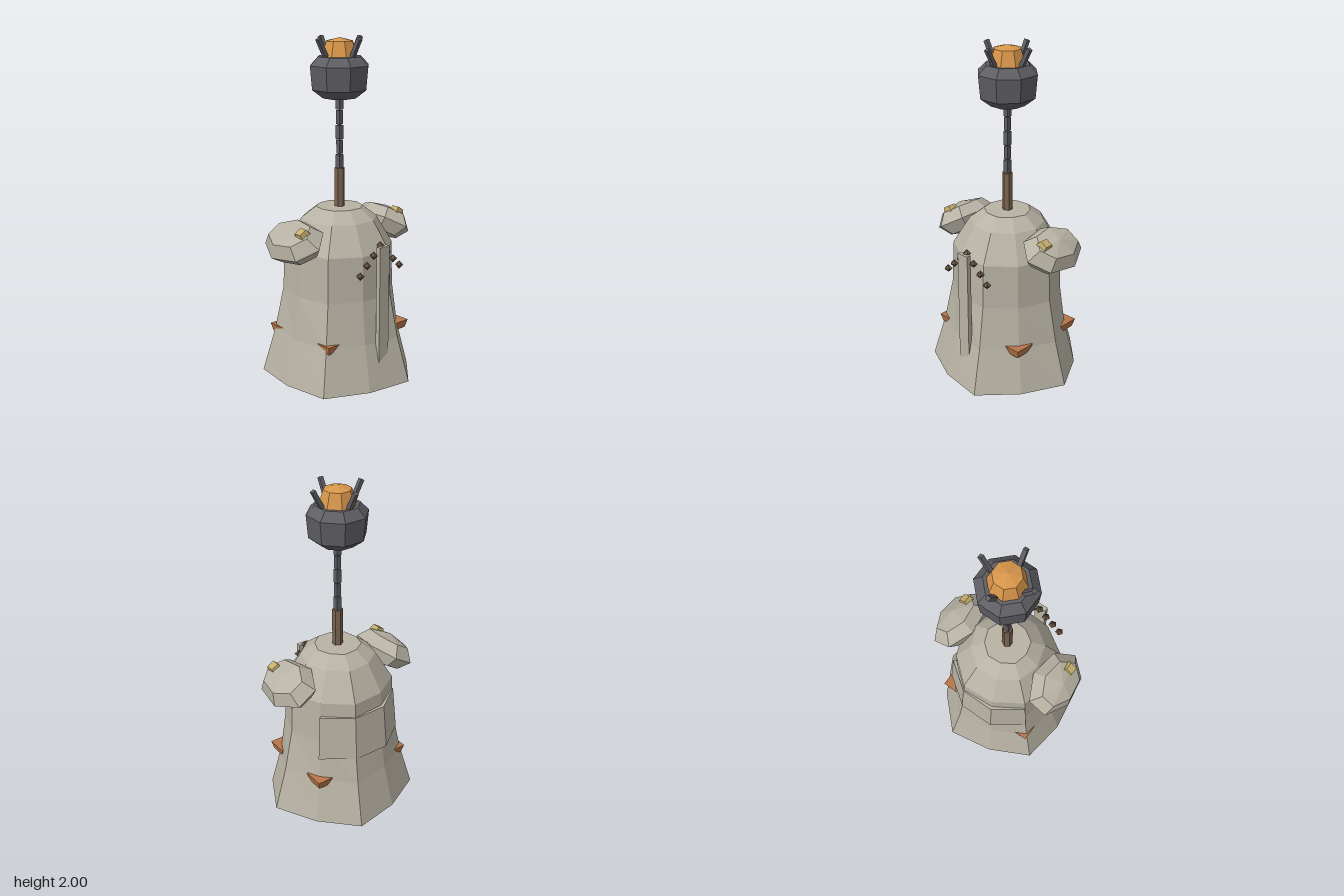
import * as THREE from 'three';

const paint = (name, color) => {
  const m = new THREE.MeshStandardMaterial({ color });
  m.name = name;
  m.flatShading = true;
  return m;
};

export function createModel() {
  const model = new THREE.Group();
  const stone = paint('pale stone', 0xb8b2a4);
  const iron = paint('dark iron', 0x5e5e63);
  const wood = paint('dark wood', 0x7a6450);
  const bead = paint('bead brown', 0x665140);
  const copper = paint('copper', 0xb87548);
  const brass = paint('brass', 0xc4ae6c);
  const amber = paint('amber', 0xd6954a);

  const add = (name, geometry, material, x = 0, y = 0, z = 0, parent = model) => {
    const mesh = new THREE.Mesh(geometry, material);
    mesh.name = name;
    mesh.position.set(x, y, z);
    parent.add(mesh);
    return mesh;
  };
  const lathe = (profile, sides) =>
    new THREE.LatheGeometry(profile.map(([r, y]) => new THREE.Vector2(r, y)), sides);

  // Bell-shaped body: every second edge is pulled in by the third value
  const rings = [
    [0, 0, 1], [0.468, 0, 0.897], [0.39, 0.27, 0.905], [0.338, 0.525, 0.947],
    [0.326, 0.79, 0.96], [0.225, 0.955, 0.97], [0.14, 1.02, 0.96], [0, 1.02, 1],
  ];
  const bodyGeo = lathe(rings, 10);
  const pos = bodyGeo.attributes.position;
  for (let i = 0; i < pos.count; i++) {
    const column = Math.floor(i / rings.length);
    const k = column % 2 ? rings[i % rings.length][2] : 1;
    pos.setXYZ(i, pos.getX(i) * k, pos.getY(i), pos.getZ(i) * k);
  }
  bodyGeo.rotateY(Math.PI / 2);
  add('body', bodyGeo, stone);

  // Curved plate on the back
  add('backPlate', new THREE.CylinderGeometry(0.336, 0.361, 0.275, 3, 1, false,
    Math.PI * 0.7, Math.PI * 0.6), stone, 0, 0.565, 0);

  // Hanging strip on the front
  add('frontStrip', new THREE.BoxGeometry(0.076, 0.73, 0.028), stone, 0, 0.485, 0.363);

  // Bead necklace in an inverted V
  for (let i = -3; i <= 3; i++) {
    add('necklaceBead', new THREE.SphereGeometry(0.025, 5, 2), bead,
      i * 0.0525, 0.85 - Math.abs(i) * 0.05, 0.34);
  }

  // Four tapered brackets around the skirt
  for (const sx of [-1, 1]) for (const sz of [-1, 1]) {
    const geo = new THREE.CylinderGeometry(0.09, 0.072, 0.05, 4).rotateY(Math.PI / 4);
    add('skirtBracket', geo, copper, sx * 0.262, 0.266, sz * 0.198);
  }

  // Tilted shoulder pads, each with a brass stud
  for (const s of [-1, 1]) {
    const pad = new THREE.Group();
    pad.name = s > 0 ? 'leftShoulder' : 'rightShoulder';
    pad.position.set(s * 0.35, 0.865, 0);
    pad.rotation.z = -s * 0.55;
    const dome = new THREE.SphereGeometry(1, 7, 4).rotateY(Math.PI / 2);
    add('shoulderPad', dome.scale(0.155, 0.1, 0.214), stone, 0, 0, 0, pad);
    const stud = new THREE.CylinderGeometry(0.034, 0.046, 0.035, 4).rotateY(Math.PI / 4);
    add('shoulderStud', stud, brass, -s * 0.013, 0.082, 0.102, pad);
    model.add(pad);
  }

  // Wooden post and chain
  add('post', new THREE.CylinderGeometry(0.031, 0.031, 0.265, 6), wood, 0, 1.115, 0);
  for (let i = 0; i < 5; i++) {
    const w = i % 2 ? 0.027 : 0.033;
    add('chainLink', new THREE.BoxGeometry(w, 0.08, w), iron, 0, 1.285 + i * 0.086, 0);
  }

  // Lantern head: iron bowl with an amber dome
  add('lanternBowl', lathe([
    [0, 1.655], [0.1, 1.655], [0.165, 1.705], [0.177, 1.84], [0.128, 1.89], [0, 1.89],
  ], 8).rotateY(Math.PI / 8), iron);
  add('lanternDome', lathe([
    [0.109, 1.885], [0.08, 1.975], [0, 1.995],
  ], 8).rotateY(Math.PI / 8), amber);

  // Four prongs leaning outward
  for (let i = 0; i < 4; i++) {
    const arm = new THREE.Group();
    arm.name = 'prongArm';
    arm.rotation.y = i * Math.PI / 2;
    const prong = add('prong', new THREE.BoxGeometry(0.024, 0.13, 0.024), iron, 0.13, 1.937, 0, arm);
    prong.rotation.z = -0.5;
    model.add(arm);
  }

  return model;
}
